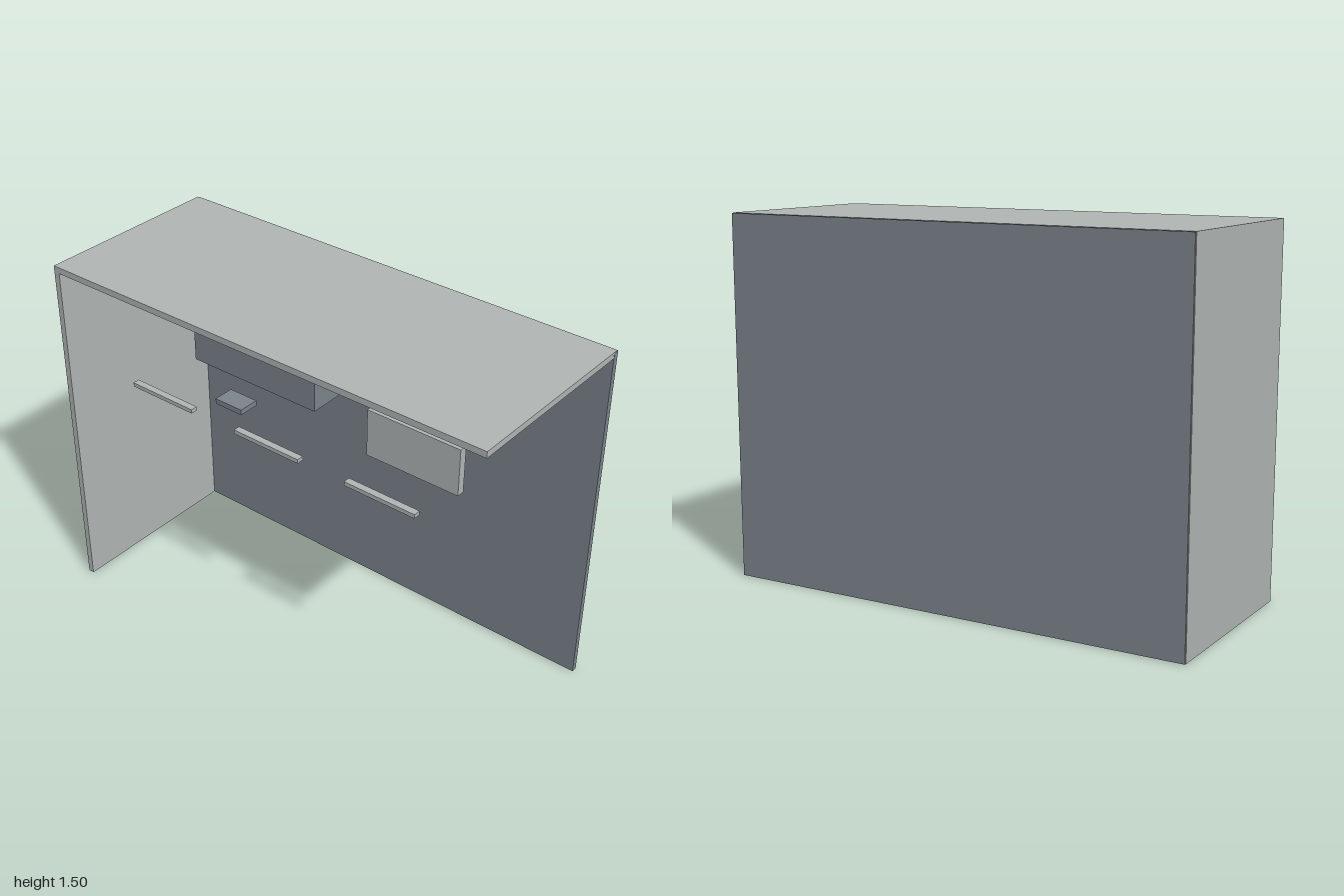
import * as THREE from 'three';

const paint = (name, color) => {
  const m = new THREE.MeshStandardMaterial({ color });
  m.name = name;
  return m;
};

export function createModel() {
  const light = paint('pale grey', 0xb2b8b7);
  const slate = paint('slate grey', 0x7d868d);
  const green = paint('muted green', 0x85a396);
  const group = new THREE.Group();
  group.name = 'roomCorner';

  // Box given by its extents along each axis
  const box = (name, material, [x0, x1], [y0, y1], [z0, z1]) => {
    const mesh = new THREE.Mesh(new THREE.BoxGeometry(x1 - x0, y1 - y0, z1 - z0), material);
    mesh.position.set((x0 + x1) / 2, (y0 + y1) / 2, (z0 + z1) / 2);
    mesh.name = name;
    group.add(mesh);
  };

  // Shell: back wall, one side wall and ceiling
  box('backWall', slate, [-0.998, 1], [0, 1.498], [-0.406, -0.382]);
  box('sideWall', light, [-1, -0.974], [0, 1.475], [-0.4, 0.406]);
  box('ceiling', light, [-1, 0.999], [1.474, 1.5], [-0.4, 0.406]);

  // Large units fixed to the back wall
  box('wallCabinet', slate, [-0.83, -0.175], [0.885, 1.073], [-0.383, -0.163]);
  box('paleUnit', light, [-0.795, -0.51], [1.222, 1.38], [-0.383, -0.18]);
  box('slateUnit', slate, [-0.428, -0.255], [1.28, 1.4], [-0.383, -0.2]);
  box('greenUnit', green, [0.524, 0.772], [1.286, 1.42], [-0.383, -0.187]);

  // Panels standing clear of the wall
  box('upperPanel', light, [-0.065, 0.16], [1.274, 1.404], [-0.155, -0.12]);
  box('lowerPanel', light, [0.075, 0.52], [0.77, 0.985], [-0.223, -0.187]);

  // Row of slim bars
  for (const x of [-0.53, 0, 0.527]) {
    box('bar', light, [x - 0.156, x + 0.156], [1.044, 1.061], [0.305, 0.334]);
  }

  // Small blocks
  box('thinPlate', slate, [-0.775, -0.58], [1.45, 1.458], [-0.005, 0.096]);
  box('smallBlock', light, [0.667, 0.727], [1.415, 1.437], [-0.09, 0.005]);
  box('slateBlock', slate, [-0.574, -0.434], [0.84, 0.864], [-0.102, -0.008]);

  return group;
}
